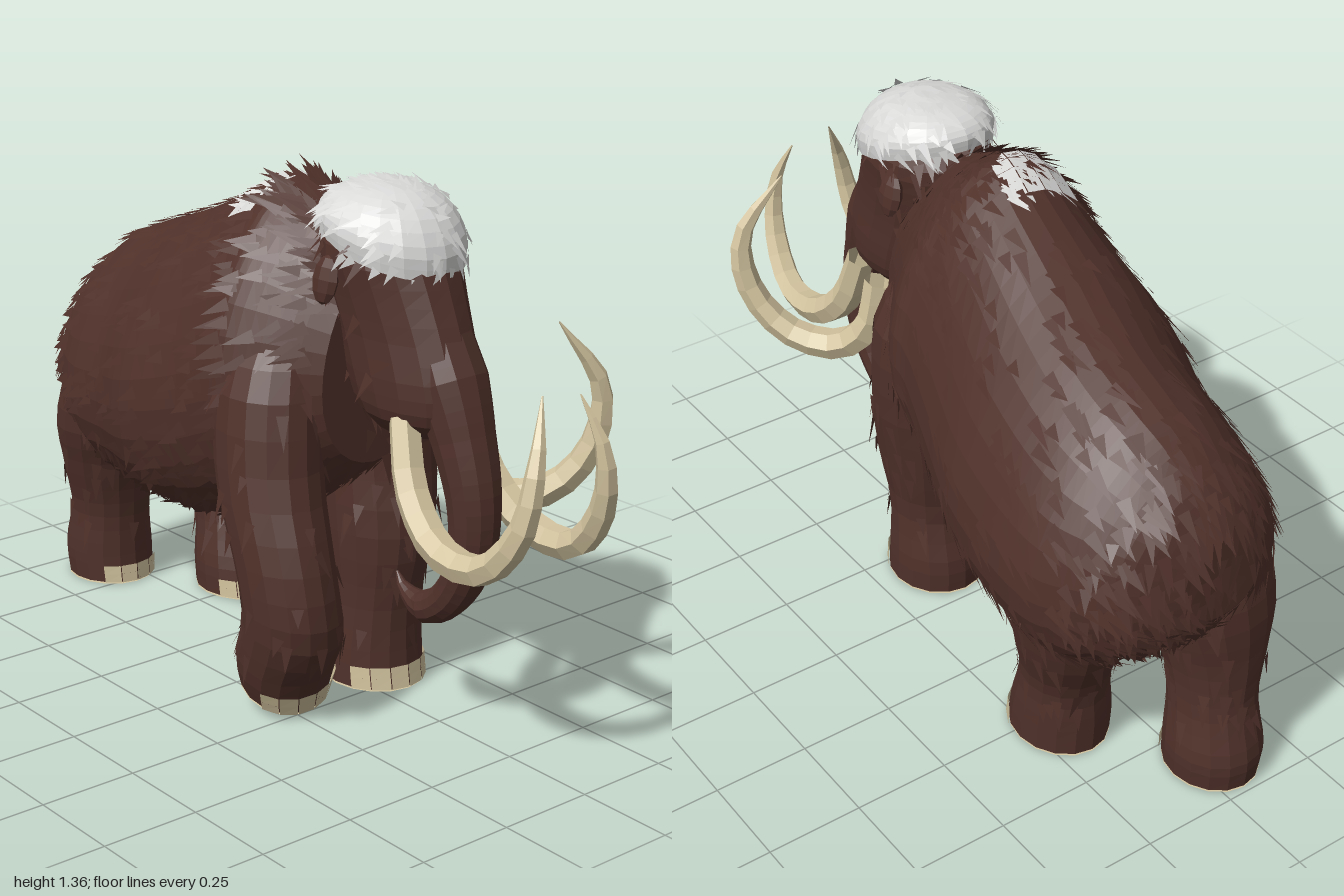
import * as THREE from 'three';

const mat = (name, color) =>
  Object.assign(new THREE.MeshStandardMaterial({ color, flatShading: true, side: THREE.DoubleSide }), { name });

// seeded random numbers
let seed = 11;
const rnd = () => (seed = (seed * 16807) % 2147483647) / 2147483647;

// Skin over sections [x, y, z, radiusA, radiusB, slopeX, slopeZ]; axis 'y' lies flat, 'z' stands upright
function loft(sections, axis, n, steps) {
  const curve = (k, m) => new THREE.CatmullRomCurve3(
    sections.map((s) => new THREE.Vector3(s[k] || 0, s[k + 1] || 0, m > 2 ? s[k + 2] : 0)), false, 'catmullrom', 0.5);
  const centre = curve(0, 3), size = curve(3, 2), slope = curve(5, 2), pos = [], idx = [];
  const ring = (t, k) => {
    const c = centre.getPoint(t), r = size.getPoint(t), s = slope.getPoint(t);
    for (let j = 0; j < n; j++) {
      const a = (j / n) * Math.PI * 2, u = Math.cos(a) * r.x * k, v = Math.sin(a) * r.y * k;
      if (axis === 'z') pos.push(c.x + u * (1 - 0.21 * Math.sin(a)), c.y + v, c.z);
      else pos.push(c.x + u, c.y + s.x * u + s.y * v, c.z + v);
    }
  };
  ring(0, 0);
  for (let i = 0; i <= steps; i++) ring(i / steps, 1);
  ring(1, 0);
  for (let i = 0; i < steps + 2; i++) for (let j = 0; j < n; j++) {
    const a = i * n + j, b = i * n + (j + 1) % n;
    idx.push(a, a + n, b, b, a + n, b + n);
  }
  const g = new THREE.BufferGeometry();
  g.setAttribute('position', new THREE.Float32BufferAttribute(pos, 3));
  g.setIndex(idx);
  g.computeVertexNormals();
  return g;
}

// Tube through points [x, y, z, radius]
function taperTube(points, sides, steps) {
  const path = new THREE.CatmullRomCurve3(points.map((p) => new THREE.Vector3(p[0], p[1], p[2])));
  const g = new THREE.TubeGeometry(path, steps, 1, sides, false), p = g.attributes.position;
  const v = new THREE.Vector3();
  for (let i = 0; i <= steps; i++) {
    const c = path.getPointAt(i / steps), f = (i / steps) * (points.length - 1);
    const k = Math.min(Math.floor(f), points.length - 2);
    const r = THREE.MathUtils.lerp(points[k][3], points[k + 1][3], f - k);
    for (let j = 0; j <= sides; j++) {
      const q = i * (sides + 1) + j;
      v.fromBufferAttribute(p, q).sub(c).multiplyScalar(r).add(c);
      p.setXYZ(q, v.x, v.y, v.z);
    }
  }
  g.computeVertexNormals();
  return g;
}

// Every triangle of a geometry as { corners, centre, normal }
function triangles(g) {
  const f = g.toNonIndexed().attributes.position, out = [];
  for (let i = 0; i < f.count; i += 3) {
    const tri = new THREE.Triangle(...[0, 1, 2].map((k) => new THREE.Vector3().fromBufferAttribute(f, i + k)));
    if (tri.getArea() > 1e-6) out.push({ corners: [tri.a, tri.b, tri.c],
      centre: tri.getMidpoint(new THREE.Vector3()), normal: tri.getNormal(new THREE.Vector3()) });
  }
  return out;
}

function fromPoints(points) {
  const g = new THREE.BufferGeometry().setFromPoints(points);
  g.computeVertexNormals();
  return g;
}

// Thin coloured patch lying just above some faces
const patchOn = (faces, gap) =>
  fromPoints(faces.flatMap((f) => f.corners.map((v) => v.clone().addScaledVector(f.normal, gap))));

// Pointed locks of hair scattered over a surface, combed along dir
function tufts(faces, count, length, dir, lift = 0.14) {
  const pts = [];
  for (let i = 0; i < count; i++) {
    const { corners: [a, b, c], normal: n } = faces[Math.floor(rnd() * faces.length)];
    const s = rnd(), t = rnd() * (1 - s);
    const p = a.clone().multiplyScalar(1 - s - t).addScaledVector(b, s).addScaledVector(c, t);
    const d = new THREE.Vector3(dir[0] + (rnd() - 0.5) * 0.6, dir[1] + (rnd() - 0.5) * 0.4, dir[2]);
    d.addScaledVector(n, -d.dot(n)).normalize();
    const side = n.clone().cross(d).multiplyScalar(length * 0.22);
    const tip = p.clone().addScaledVector(d, length * (0.6 + 0.7 * rnd())).addScaledVector(n, length * lift);
    p.addScaledVector(n, 0.002);
    pts.push(p.clone().add(side), p.clone().sub(side), tip);
  }
  return fromPoints(pts);
}

export function createModel() {
  const model = new THREE.Group();
  const brown = mat('brown fur', 0x50312a);
  const white = mat('white fur', 0xd9d9d8);
  const ivory = mat('ivory', 0xd3c49f);
  const add = (name, geometry, material, parent = model) => {
    const m = new THREE.Mesh(geometry, material);
    m.name = name;
    parent.add(m);
    return m;
  };

  // body: z, centre x, bottom, top, half width (front to back)
  const body = loft([
    [0.3, -0.05, 0.64, 1.14, 0.16], [0.2, -0.06, 0.56, 1.22, 0.23], [0.08, -0.05, 0.48, 1.28, 0.3],
    [0, -0.045, 0.43, 1.3, 0.305], [-0.15, -0.02, 0.37, 1.245, 0.325], [-0.35, 0.01, 0.335, 1.165, 0.36],
    [-0.55, 0.055, 0.32, 1.095, 0.34], [-0.7, 0.065, 0.33, 1.045, 0.325], [-0.8, 0.06, 0.39, 0.995, 0.285],
    [-0.89, 0.05, 0.48, 0.915, 0.22], [-0.945, 0.03, 0.56, 0.82, 0.11],
  ].map(([z, x, lo, hi, w]) => [x, (lo + hi) / 2, z, w, (hi - lo) / 2]), 'z', 32, 40);
  const skin = triangles(body);
  add('body', body, brown);
  add('bodyFur', tufts(skin, 950, 0.08, [0, -0.5, -1]), brown);
  add('maneFur', tufts(skin.filter((f) => f.centre.z > -0.1 && f.centre.y > 1.05), 160, 0.07, [0, -0.3, -1], 0.25), brown);
  add('bellyFringe', tufts(skin.filter((f) => f.centre.y < 0.55 && f.centre.z < -0.1), 170, 0.07, [0, -1, -0.4]), brown);
  add('rumpFur', tufts(skin.filter((f) => f.centre.z < -0.78), 150, 0.07, [0, -1, -0.3], 0.2), brown);

  // white patch on the hump, just above the skin
  const patch = skin.filter(({ centre: c }) => c.y > 1.15 && Math.hypot((c.x + 0.085) / 0.11, (c.z + 0.045) / 0.075) < 1);
  add('humpPatch', patchOn(patch, 0.009), white);
  add('humpPatchFur', tufts(patch, 40, 0.05, [0, 0, -1], 0.35), white);

  // head: y, back z, front z, half width
  const head = loft([
    [0.77, 0.33, 0.57, 0.08], [0.82, 0.28, 0.63, 0.12], [0.9, 0.24, 0.635, 0.13], [1, 0.2, 0.605, 0.13],
    [1.1, 0.17, 0.565, 0.14], [1.19, 0.16, 0.525, 0.15], [1.27, 0.2, 0.46, 0.11],
  ].map(([y, b, f, w]) => [-0.045, y, (b + f) / 2, w, (f - b) / 2]), 'y', 16, 14);
  add('head', head, brown);
  add('headFur', tufts(triangles(head).filter((f) => f.centre.z < 0.4), 110, 0.07, [0, -1, -0.5], 0.3), brown);

  // white cap of hair
  const cap = loft([
    [-0.042, 1.2, 0.35, 0.161, 0.188, 0, -0.3], [-0.042, 1.25, 0.35, 0.167, 0.188, 0, -0.22],
    [-0.042, 1.3, 0.345, 0.139, 0.155, 0, -0.12], [-0.042, 1.33, 0.34, 0.09, 0.1, 0, -0.05],
    [-0.042, 1.343, 0.34, 0.03, 0.035, 0, 0],
  ], 'y', 20, 10);
  add('headCap', cap, white);
  add('headCapFur', tufts(triangles(cap).filter((f) => f.normal.y > -0.2), 160, 0.055, [0, -0.5, -0.5], 0.15), white);

  // ears
  for (const s of [-1, 1]) {
    const ear = add(s > 0 ? 'leftEar' : 'rightEar', new THREE.SphereGeometry(1, 8, 6), brown);
    ear.scale.set(0.022, 0.06, 0.042);
    ear.position.set(-0.045 + s * 0.15, 1.12, 0.29);
    ear.rotation.z = s * 0.2;
  }

  // trunk
  add('trunk', taperTube([
    [-0.04, 1.02, 0.5, 0.085], [-0.04, 0.8, 0.6, 0.095], [-0.04, 0.62, 0.65, 0.078], [-0.04, 0.47, 0.635, 0.068],
    [-0.04, 0.36, 0.565, 0.06], [-0.04, 0.315, 0.48, 0.05], [-0.04, 0.345, 0.4, 0.042], [-0.04, 0.375, 0.38, 0.004],
  ], 12, 28), brown);

  // tusks
  const tusk = (name, pts) => {
    const radii = [0.038, 0.042, 0.042, 0.038, 0.033, 0.023, 0.002];
    add(name, taperTube(pts.map((p, i) => [...p, radii[i]]), 6, 16), ivory);
  };
  tusk('rightTusk', [[-0.13, 0.82, 0.5], [-0.165, 0.66, 0.57], [-0.195, 0.562, 0.7], [-0.2, 0.562, 0.85],
    [-0.188, 0.68, 0.955], [-0.16, 0.83, 0.968], [-0.1, 0.97, 0.92]]);
  tusk('innerLeftTusk', [[0.07, 0.82, 0.5], [0.08, 0.66, 0.57], [0.092, 0.558, 0.7], [0.088, 0.555, 0.85],
    [0.07, 0.68, 0.955], [0.05, 0.83, 0.968], [0.02, 0.95, 0.92]]);
  tusk('outerLeftTusk', [[0.08, 0.8, 0.4], [0.1, 0.66, 0.42], [0.15, 0.573, 0.5], [0.235, 0.588, 0.61],
    [0.3, 0.7, 0.69], [0.307, 0.86, 0.712], [0.2, 1.03, 0.67]]);

  // legs: sections from foot to shoulder, with sole and toenails on faces turned forward
  const leg = (name, forward, sections) => {
    const g = new THREE.Group();
    g.name = name;
    model.add(g);
    const shape = loft(sections, 'y', 16, 16), faces = triangles(shape);
    add(name + 'Limb', shape, brown, g);
    add(name + 'Fur', tufts(faces.filter((f) => f.centre.y > 0.15), 80, 0.07, [0, -1, -0.2], 0.16), brown, g);
    const [x, y, z, , , sx = 0, sz = 0] = sections[0];
    const height = (c) => c.y - y - sx * (c.x - x) - sz * (c.z - z);
    add(name + 'Sole', patchOn(faces.filter((f) => height(f.centre) < 0.002 && f.normal.y < -0.5), 0.005), ivory, g);
    add(name + 'Toenails', patchOn(faces.filter((f) => f.normal.y > -0.6 && f.normal.z > forward
      && height(f.centre) > 0.002 && height(f.centre) < 0.055), 0.006), ivory, g);
  };
  leg('frontLeftLeg', 0.35, [[0.07, 0.006, 0.165, 0.125, 0.14], [0.07, 0.09, 0.16, 0.125, 0.135],
    [0.07, 0.24, 0.175, 0.115, 0.122], [0.08, 0.42, 0.17, 0.135, 0.155], [0.095, 0.62, 0.148, 0.15, 0.148],
    [0.09, 0.85, 0.13, 0.145, 0.145], [0.05, 1.02, 0.11, 0.07, 0.09]]);
  leg('frontRightLeg', 0.35, [[-0.225, 0.065, 0.165, 0.11, 0.115, 0.2, -0.35], [-0.24, 0.14, 0.19, 0.125, 0.125, 0.15, -0.3],
    [-0.27, 0.26, 0.258, 0.118, 0.135, 0, -0.15], [-0.28, 0.42, 0.235, 0.115, 0.14], [-0.265, 0.62, 0.16, 0.123, 0.15],
    [-0.235, 0.85, 0.13, 0.12, 0.142], [-0.175, 1.02, 0.11, 0.07, 0.09]]);
  leg('backLeftLeg', 0.35, [[0.17, 0.006, -0.53, 0.12, 0.14], [0.17, 0.09, -0.54, 0.12, 0.135], [0.18, 0.22, -0.565, 0.11, 0.12],
    [0.2, 0.36, -0.6, 0.13, 0.15], [0.2, 0.55, -0.62, 0.158, 0.18], [0.16, 0.75, -0.64, 0.12, 0.14]]);
  leg('backRightLeg', 0.75, [[-0.055, 0.006, -0.855, 0.115, 0.13], [-0.055, 0.09, -0.86, 0.12, 0.13], [-0.06, 0.22, -0.84, 0.11, 0.115],
    [-0.07, 0.36, -0.82, 0.135, 0.13], [-0.06, 0.52, -0.785, 0.18, 0.16], [-0.03, 0.75, -0.74, 0.17, 0.15]]);

  return model;
}
